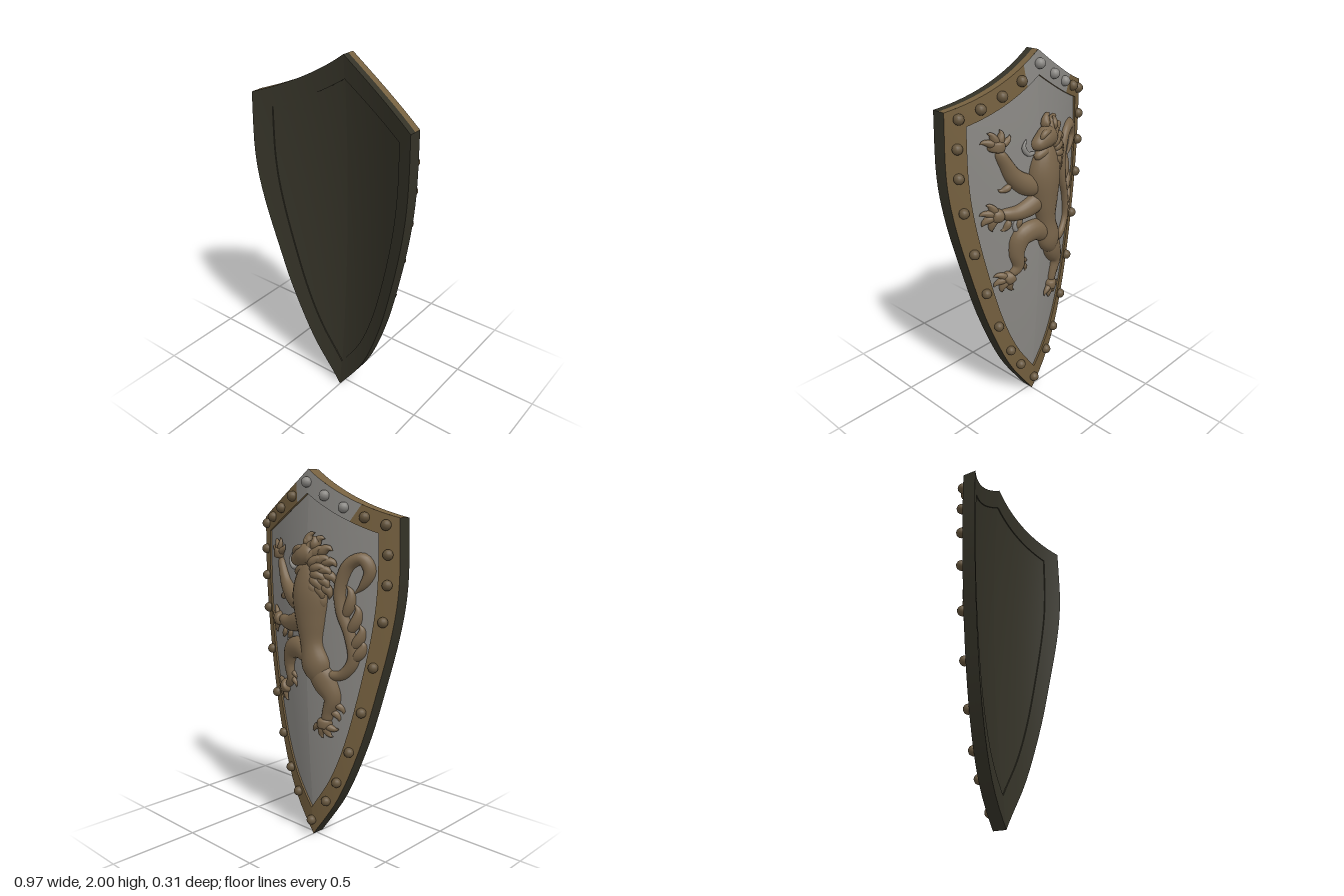
import * as THREE from 'three';

const mat = (name, color) => {
  const m = new THREE.MeshStandardMaterial({ color, side: THREE.DoubleSide });
  m.name = name;
  return m;
};
const dark = mat('dark olive', 0x343227);
const bronze = mat('bronze', 0x75603f);
const relief = mat('relief bronze', 0x78644a);
const steel = mat('steel', 0x8a8884);
const stud = mat('stud brown', 0x65553d);

const THICK = 0.075, STEP = 0.012;

// curved face of the shield: a bowed ridge falling away to both sides
const face = (x, y) => -0.09 + 0.046 * (y - 1.2) ** 2
  + (1 - 0.18 * y) * (0.8 * x * x + 0.09 * Math.abs(x));

// smooth sheet of (nu x nv) cells from a point function
function grid(nu, nv, f) {
  const pos = [], idx = [];
  for (let i = 0; i <= nu; i++) for (let j = 0; j <= nv; j++) pos.push(...f(i / nu, j / nv));
  for (let i = 0; i < nu; i++) for (let j = 0; j < nv; j++) {
    const a = i * (nv + 1) + j, b = a + nv + 1;
    idx.push(a, b, b + 1, a, b + 1, a + 1);
  }
  const g = new THREE.BufferGeometry();
  g.setAttribute('position', new THREE.Float32BufferAttribute(pos, 3));
  g.setIndex(idx);
  g.computeVertexNormals();
  return g;
}

const V2 = (x, y) => new THREE.Vector2(x, y);
const spline = (pts) => new THREE.SplineCurve(pts.map((p) => V2(...p)));

// right half outlines: top edge and side edge, outer and inner
const topOut = new THREE.QuadraticBezierCurve(V2(0, 2), V2(0.23, 1.835), V2(0.48, 1.76));
const topIn = new THREE.QuadraticBezierCurve(V2(0, 1.88), V2(0.19, 1.755), V2(0.39, 1.685));
const sideOut = spline([[0.48, 1.76], [0.483, 1.45], [0.455, 1.2], [0.39, 0.9], [0.3, 0.57], [0.17, 0.25], [0, 0]]);
const sideIn = spline([[0.39, 1.685], [0.39, 1.43], [0.367, 1.2], [0.31, 0.91], [0.228, 0.6], [0.13, 0.36], [0, 0.165]]);

export function createModel() {
  const model = new THREE.Group();
  model.name = 'shield';
  const add = (parent, name, geo, material) => {
    const m = new THREE.Mesh(geo, material);
    m.name = name;
    parent.add(m);
    return m;
  };
  const group = (name) => {
    const g = new THREE.Group();
    g.name = name;
    model.add(g);
    return g;
  };

  // rim strips: each corner is [which outline (0 outer, 1 inner), depth behind the face]
  const rim = group('rim');
  function strip(name, s, out, inn, t0, t1, a, b, material) {
    add(rim, name, grid(28, 4, (u, v) => {
      const t = t0 + (t1 - t0) * u;
      const k = a[0] + (b[0] - a[0]) * v, d = a[1] + (b[1] - a[1]) * v;
      const p = out.getPoint(t).lerp(inn.getPoint(t), k);
      return [s * p.x, p.y, face(p.x, p.y) + d];
    }), material);
  }
  for (const s of [1, -1]) {
    for (const [label, out, inn] of [['top', topOut, topIn], ['side', sideOut, sideIn]]) {
      const top = label === 'top', cut = top ? (s > 0 ? 0.2 : 0.65) : 0;
      if (top) strip('rimFaceCentre', s, out, inn, 0, cut, [0, 0], [1, 0], steel);
      strip(label + 'RimFace', s, out, inn, cut, 1, [0, 0], [1, 0], bronze);
      strip(label + 'RimInnerWall', s, out, inn, 0, 1, [1, 0], [1, STEP], bronze);
      strip(label + 'EdgeOuterHalf', s, out, inn, 0, 1, [0, 0], [0, THICK / 2], top ? bronze : dark);
      strip(label + 'EdgeInnerHalf', s, out, inn, 0, 1, [0, THICK / 2], [0, THICK], top && s < 0 ? bronze : dark);
      strip(label + 'RimBack', s, out, inn, 0, 1, [0, THICK], [1, THICK], dark);
      strip(label + 'RimBackWall', s, out, inn, 0, 1, [1, THICK], [1, THICK - 0.006], dark);
    }
    // panel halves meet in a crease on the centre line
    for (const [name, d, material] of [['panelFace', STEP, steel], ['panelBack', THICK - 0.006, dark]]) {
      add(model, name, grid(60, 16, (u, v) => {
        const p = u < 0.2 ? topIn.getPoint(u / 0.2) : sideIn.getPoint((u - 0.2) / 0.8);
        return [s * p.x * v, p.y, face(p.x * v, p.y) + d];
      }), material);
    }
  }

  // rivets along the middle of the rim
  const studs = group('studs');
  const ball = new THREE.SphereGeometry(0.027, 14, 10);
  const rivet = (x, y, m) => add(studs, 'stud', ball, m).position.set(x, y, face(x, y) - 0.009);
  rivet(0, 1.935, steel);
  rivet(0, 0.09, stud);
  for (const s of [1, -1]) {
    for (const t of [0.27, 0.52, 0.76, 0.98]) {
      const p = topOut.getPoint(t).lerp(topIn.getPoint(t), 0.5);
      rivet(s * p.x, p.y, s < 0 && t < 0.6 ? steel : stud);
    }
    for (const t of [0.09, 0.17, 0.3, 0.44, 0.57, 0.69, 0.8, 0.88]) {
      const p = sideOut.getPoint(t).lerp(sideIn.getPoint(t), 0.5);
      rivet(s * p.x, p.y, stud);
    }
  }

  // relief: rounded strokes given as [x, y, radius], laid on the curved face
  const lion = group('lionRelief');
  function stroke(name, pts, lift = 0, material = relief) {
    const c = new THREE.CatmullRomCurve3(pts.map((p) => new THREE.Vector3(...p)), false, 'catmullrom', 0.5);
    add(lion, name, grid(pts.length * 6, 12, (u, v) => {
      const t = (1 - Math.cos(Math.PI * u)) / 2;
      const p = c.getPoint(t), d = c.getTangent(t);
      const len = Math.hypot(d.x, d.y) || 1;
      const r = Math.max(p.z, 0) * Math.sqrt(Math.max(0, 1 - Math.abs(2 * t - 1) ** 6));
      const a = -0.3 + (Math.PI + 0.6) * v;
      const x = p.x - (d.y / len) * r * Math.cos(a), y = p.y + (d.x / len) * r * Math.cos(a);
      return [x, y, face(x, y) + STEP - lift - Math.sin(a) * Math.min(r * 1.1, 0.02 + r * 0.5)];
    }), material);
  }
  // short tapered lock or claw starting at x, y, with a bend
  function lock(name, x, y, angle, length, r, bend = 0.5, lift = 0, material = relief) {
    const p = (k, da) => [x + Math.cos(angle + da) * length * k, y + Math.sin(angle + da) * length * k];
    stroke(name, [[x, y, r * 0.8], [...p(0.45, 0), r], [...p(0.8, bend * 0.4), r * 0.6], [...p(1, bend), 0.002]], lift, material);
  }
  function paw(x, y, angle) {
    const c = Math.cos(angle) * 0.03, s = Math.sin(angle) * 0.03;
    stroke('paw', [[x - c, y - s, 0.034], [x, y, 0.04], [x + c, y + s, 0.034]], 0.006);
    for (const a of [-1.15, -0.4, 0.35, 1.1]) lock('toe', x, y, angle + a, 0.085, 0.019, -0.3, 0.012);
  }

  // body and limbs
  stroke('torso', [[-0.04, 1.55, 0.08], [-0.03, 1.38, 0.108], [-0.035, 1.23, 0.085], [-0.045, 1.11, 0.062], [-0.07, 1.0, 0.08], [-0.09, 0.91, 0.06]], 0.008);
  stroke('upperForeleg', [[0, 1.31, 0.055], [0.09, 1.34, 0.056], [0.165, 1.4, 0.044], [0.21, 1.48, 0.032], [0.245, 1.55, 0.03]]);
  paw(0.255, 1.57, 1.7);
  stroke('lowerForeleg', [[0, 1.25, 0.06], [0.08, 1.215, 0.052], [0.16, 1.2, 0.04], [0.25, 1.215, 0.03]]);
  paw(0.265, 1.21, 0.1);
  stroke('raisedHindleg', [[-0.06, 1.02, 0.07], [0.03, 1.075, 0.062], [0.12, 1.06, 0.058], [0.15, 0.98, 0.042], [0.14, 0.89, 0.03], [0.19, 0.84, 0.03]]);
  paw(0.2, 0.835, -0.5);
  stroke('standingHindleg', [[-0.07, 1.0, 0.075], [-0.12, 0.91, 0.068], [-0.16, 0.83, 0.046], [-0.135, 0.75, 0.031], [-0.12, 0.69, 0.034]]);
  paw(-0.115, 0.685, -1.5);

  // fur tufts on elbows, knees and hocks
  for (const [x, y, a] of [[0.18, 1.36, -0.6], [0.13, 1.17, -1.3], [0.19, 1.17, -1.2], [0.14, 0.9, 3.6],
    [0.15, 0.93, 3.3], [-0.17, 0.8, 3.6], [-0.15, 0.76, 3.7]]) lock('furTuft', x, y, a, 0.07, 0.018, 0.4);
  lock('kneeSpur', 0.14, 1.08, 1.1, 0.09, 0.012, 0.7, 0, steel);

  // mane: three fans of overlapping locks, shortest on top
  for (let ring = 0; ring < 3; ring++) {
    for (let i = 0; i < 9; i++) {
      const a = 1.5 + i * 0.42 + (ring % 2) * 0.2;
      const d = 0.095 - ring * 0.028;
      lock('maneLock', -0.035 + Math.cos(a) * d * 0.8, 1.48 + Math.sin(a) * d * 1.3, a, 0.09, 0.026, 0.5, 0.018 + ring * 0.012);
    }
  }

  // head
  stroke('head', [[-0.08, 1.58, 0.045], [-0.02, 1.575, 0.058], [0.03, 1.555, 0.042], [0.075, 1.535, 0.026]], 0.03);
  stroke('jaw', [[-0.03, 1.51, 0.03], [0.02, 1.495, 0.026], [0.055, 1.475, 0.018]], 0.024);
  stroke('brow', [[-0.02, 1.615, 0.012], [0.02, 1.605, 0.016], [0.045, 1.58, 0.01]], 0.058);
  lock('ear', -0.07, 1.6, 1.9, 0.07, 0.022, -0.4, 0.035);
  lock('crownTuft', -0.03, 1.62, 1.3, 0.05, 0.018, 0.4, 0.03);
  stroke('tongue', [[0.05, 1.505, 0.01], [0.09, 1.505, 0.012], [0.115, 1.54, 0.011], [0.1, 1.585, 0.003]], 0.018, steel);

  // tail with a curled end and a row of tufts
  stroke('tail', [[-0.09, 0.98, 0.03], [-0.15, 0.955, 0.029], [-0.22, 0.965, 0.028], [-0.275, 1.05, 0.028], [-0.255, 1.18, 0.027],
    [-0.215, 1.29, 0.028], [-0.205, 1.41, 0.029], [-0.245, 1.525, 0.031], [-0.315, 1.56, 0.031], [-0.35, 1.5, 0.028], [-0.32, 1.43, 0.022], [-0.27, 1.38, 0.005]]);
  for (const [x, y, a, l] of [[-0.23, 1.26, 1.95, 0.17], [-0.25, 1.18, 2.1, 0.16], [-0.265, 1.1, 2.2, 0.14], [-0.27, 1.04, 2.3, 0.12]]) {
    lock('tailTuft', x, y, a, l, 0.025, -0.35, 0.004);
  }
  return model;
}
